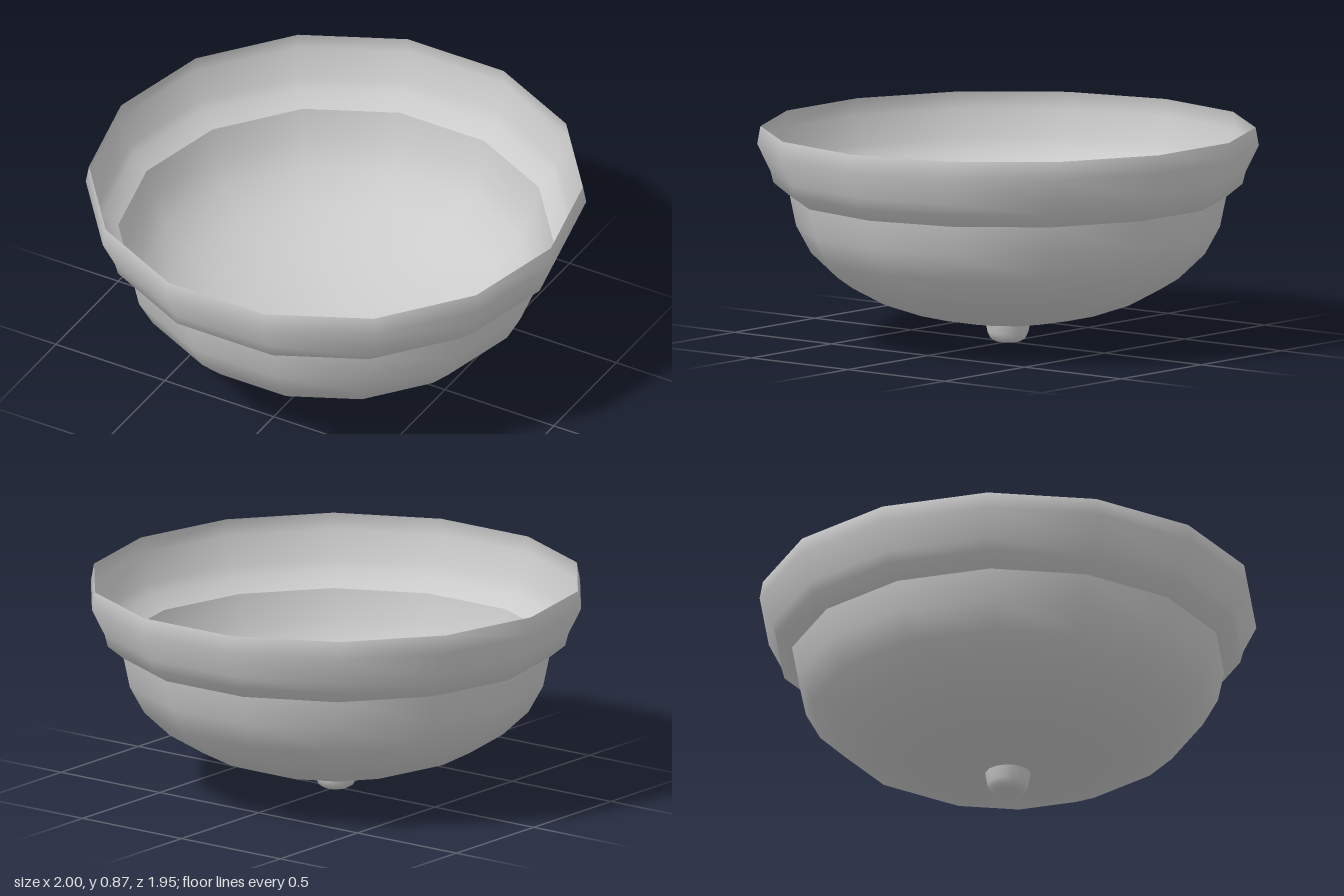
import * as THREE from 'three';

const material = new THREE.MeshStandardMaterial({ color: 0xcccccc, side: THREE.DoubleSide });

// Thin turned shell from [radius, height] points, with a corner on the +x axis
function turned(name, profile, sides) {
  const points = profile.map(([r, y]) => new THREE.Vector2(r, y));
  const mesh = new THREE.Mesh(new THREE.LatheGeometry(points, sides, Math.PI / 2), material);
  mesh.name = name;
  return mesh;
}

export function createModel() {
  const model = new THREE.Group();
  model.name = 'bowl';

  // Rounded bowl, open at the centre where the knob joins
  model.add(turned('basin', [
    [0.09, 0.085], [0.2, 0.09], [0.38, 0.125], [0.54, 0.18],
    [0.68, 0.255], [0.785, 0.355], [0.845, 0.465], [0.87, 0.585],
  ], 14));

  // Stepped, flared rim
  model.add(turned('rim', [
    [0.87, 0.585], [0.935, 0.638], [0.947, 0.685], [1, 0.793], [0.987, 0.865],
  ], 14));

  // Small hollow knob under the basin
  model.add(turned('knob', [
    [0, 0], [0.05, 0.003], [0.07, 0.015], [0.082, 0.04], [0.092, 0.088],
  ], 16));

  return model;
}
